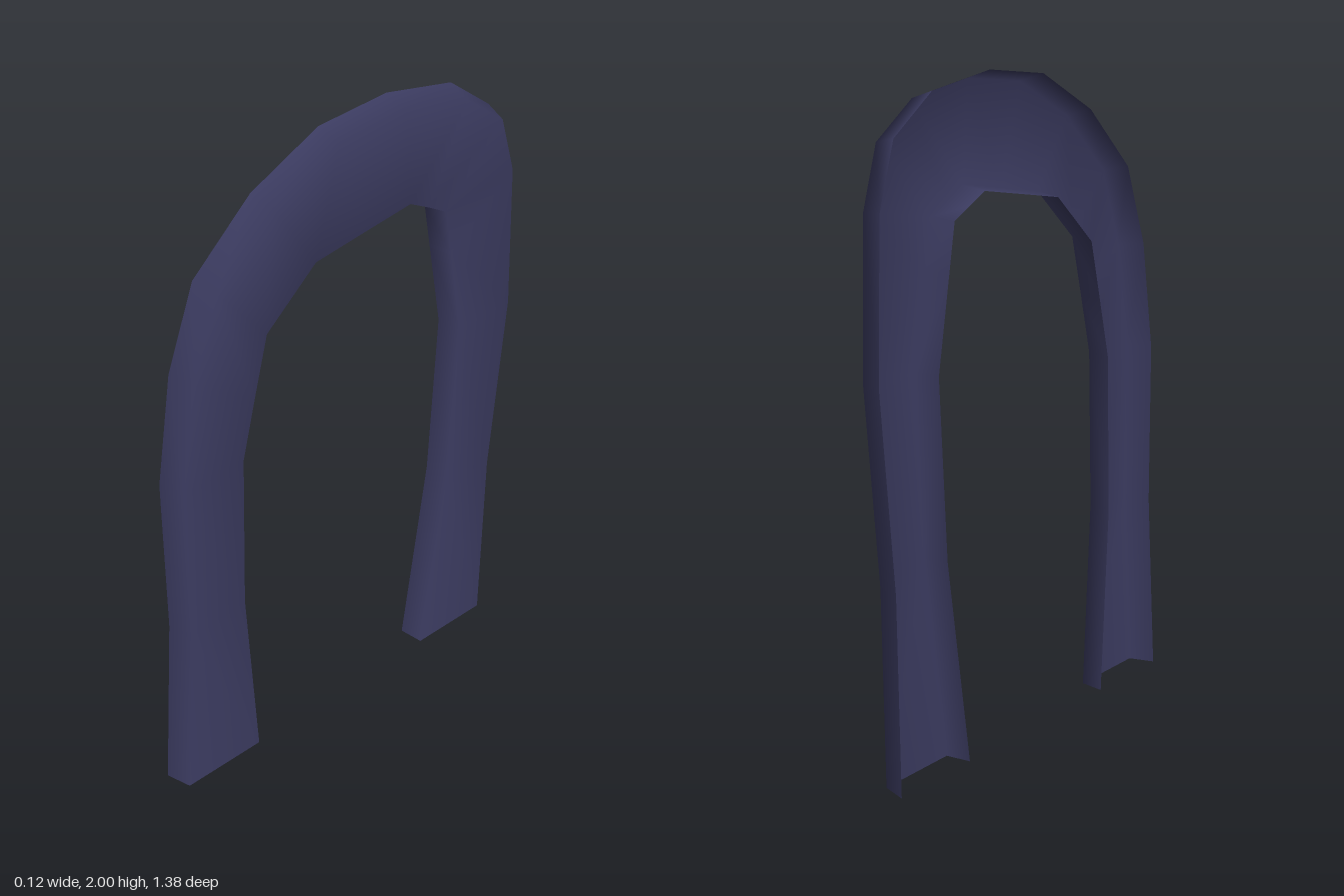
import * as THREE from 'three';

// Outer and inner edges of the arch as [z, y], from the front foot over to the rear foot
const OUTER = [[0.69, 0], [0.645, 0.58], [0.645, 1.09], [0.59, 1.43], [0.495, 1.68], [0.29, 1.865], [0.05, 1.98],
  [-0.2, 2], [-0.45, 1.955], [-0.61, 1.84], [-0.67, 1.65], [-0.685, 1.19], [-0.63, 0.6], [-0.62, 0]];
const INNER = [[0.375, 0], [0.41, 0.6], [0.395, 1.1], [0.348, 1.285], [0.3, 1.47], [0.125, 1.62], [-0.05, 1.645],
  [-0.225, 1.67], [-0.292, 1.635], [-0.36, 1.6], [-0.385, 1.46], [-0.435, 1.18], [-0.405, 0.64], [-0.31, 0]];

// Shift a path sideways; the feet stay on the ground
function offset(path, d) {
  return path.map(([z, y], i) => {
    const a = path[Math.max(i - 1, 0)], b = path[Math.min(i + 1, path.length - 1)];
    const tz = b[0] - a[0], ty = b[1] - a[1], len = Math.hypot(tz, ty);
    return [z + d * ty / len, y === 0 ? 0 : y - d * tz / len];
  });
}

// Open channel: outer rim, flat face on the +x side, inner rim
function channelGeometry() {
  const rails = [
    { path: OUTER, x: -0.041 },
    { path: offset(OUTER, -0.025), x: 0.039 },
    { path: offset(INNER, 0.012), x: 0.039 },
    { path: INNER, x: -0.041 },
  ];
  const n = rails.length, positions = [], indices = [];
  for (let i = 0; i < OUTER.length; i++) {
    for (const { path, x } of rails) {
      const [z, y] = path[i];
      positions.push(x + 0.03 * z, y, z); // the whole arch is turned slightly
    }
  }
  for (let i = 0; i < OUTER.length - 1; i++) {
    for (let j = 0; j < n - 1; j++) {
      const a = i * n + j, b = a + 1, c = a + n, d = c + 1;
      indices.push(a, b, c, b, d, c);
    }
  }
  const geometry = new THREE.BufferGeometry();
  geometry.setAttribute('position', new THREE.Float32BufferAttribute(positions, 3));
  geometry.setIndex(indices);
  geometry.computeVertexNormals();
  return geometry;
}

export function createModel() {
  const group = new THREE.Group();
  group.name = 'arch';
  const darkIndigo = new THREE.MeshStandardMaterial({ color: 0x3b3b60, side: THREE.DoubleSide });
  darkIndigo.name = 'dark indigo';
  const trim = new THREE.Mesh(channelGeometry(), darkIndigo);
  trim.name = 'archTrim';
  group.add(trim);
  return group;
}
